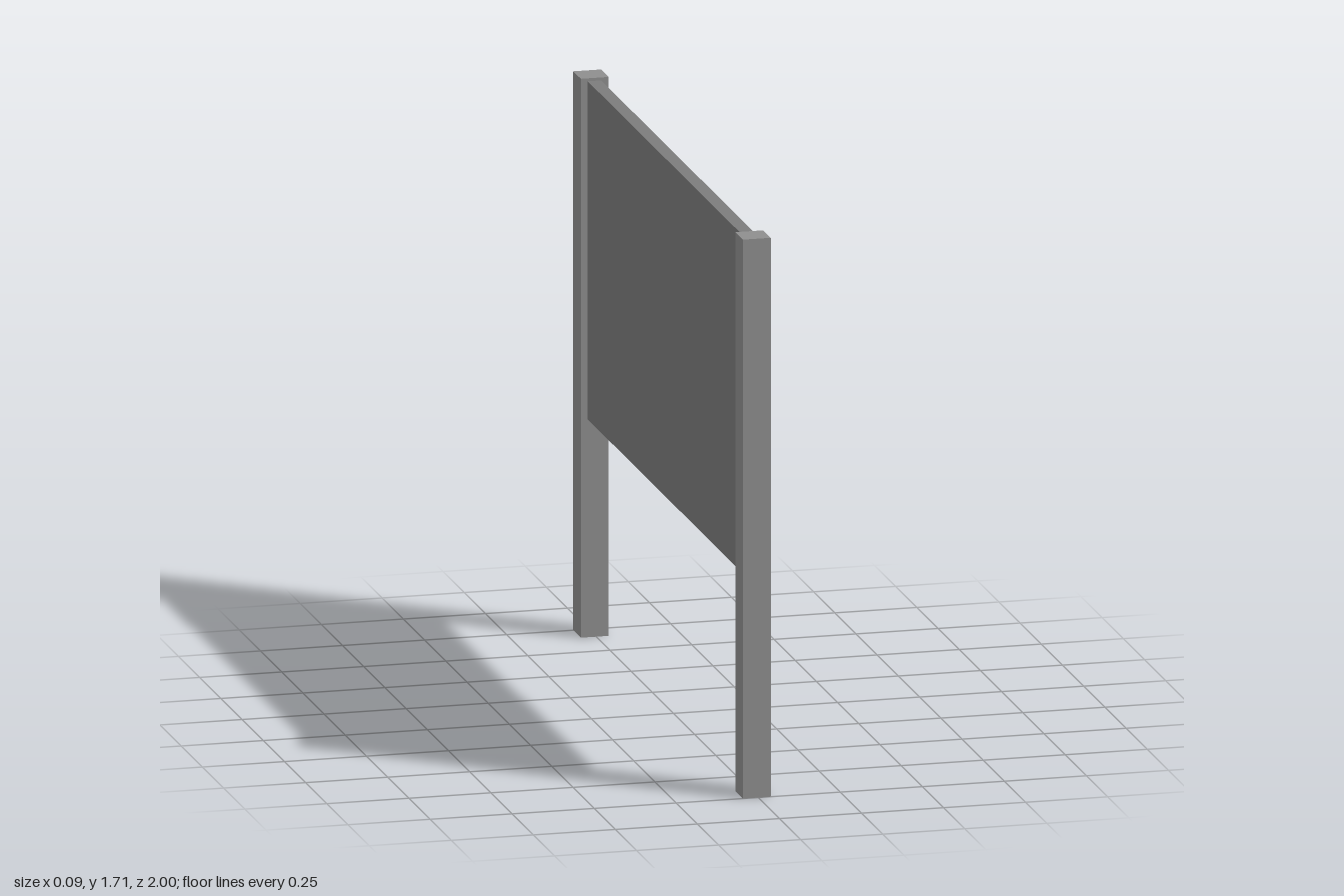
import * as THREE from 'three';

const frameGrey = new THREE.MeshStandardMaterial({ color: 0x8e8e8e });
const panelGrey = new THREE.MeshStandardMaterial({ color: 0x7c7c7c });
const paper = new THREE.MeshStandardMaterial({ color: 0xd2b46c, side: THREE.DoubleSide });

// Box given by its lower and upper corners
function box(name, material, [x0, y0, z0], [x1, y1, z1]) {
  const mesh = new THREE.Mesh(new THREE.BoxGeometry(x1 - x0, y1 - y0, z1 - z0), material);
  mesh.name = name;
  mesh.position.set((x0 + x1) / 2, (y0 + y1) / 2, (z0 + z1) / 2);
  return mesh;
}

// Paper note: lift(t) is its distance from the board, t running from top to bottom
function noteGeometry(width, height, taper, lift) {
  const geo = new THREE.PlaneGeometry(width, height, 1, 8);
  const p = geo.attributes.position;
  for (let i = 0; i < p.count; i++) {
    const t = 0.5 - p.getY(i) / height;
    p.setX(i, p.getX(i) * (1 - taper * t));
    p.setZ(i, lift(t));
  }
  geo.computeVertexNormals();
  return geo;
}

export function createModel() {
  const model = new THREE.Group();
  model.name = 'noticeBoard';

  // Upright posts at both ends
  model.add(box('frontPost', frameGrey, [-0.047, 0, 0.911], [0.038, 1.706, 1]));
  model.add(box('backPost', frameGrey, [-0.047, 0, -1], [0.038, 1.706, -0.911]));

  // Panel and the narrow ledge along its lower edge
  model.add(box('panel', panelGrey, [-0.026, 0.665, -0.915], [0.015, 1.697, 0.915]));
  model.add(box('ledge', frameGrey, [0.015, 0.665, -0.918], [0.044, 0.676, 0.918]));

  // Notes: [z, y, roll]
  const flat = noteGeometry(0.1, 0.084, 0, (t) => 0.009 + 0.008 * t);
  const tapered = noteGeometry(0.105, 0.08, 0.1, (t) => 0.004 + 0.011 * t);
  const bent = noteGeometry(0.1, 0.088, 0, (t) => 0.004 + 0.022 * Math.sin(Math.min(1, t * 2.2) * Math.PI / 2));
  const sets = [
    [flat, [
      [0.57, 1.42], [0.57, 1.28], [0.57, 1.138], [0.57, 1.0],
      [0.153, 1.41], [0.197, 1.29], [-0.315, 1.383], [-0.47, 1.302],
      [-0.197, 1.142], [-0.493, 1.008], [-0.742, 1.517], [-0.742, 1.087],
    ]],
    [tapered, [[0.336, 1.518], [0.336, 1.035], [0.153, 1.035], [-0.107, 1.035]]],
    [bent, [[-0.727, 1.333, -0.35]]],
  ];
  const notes = new THREE.Group();
  notes.name = 'notes';
  for (const [geo, places] of sets) {
    for (const [z, y, roll = 0] of places) {
      const note = new THREE.Mesh(geo, paper);
      note.name = 'note';
      note.position.set(0.015, y, z);
      note.rotation.set(0, Math.PI / 2, roll);
      notes.add(note);
    }
  }
  model.add(notes);
  return model;
}
